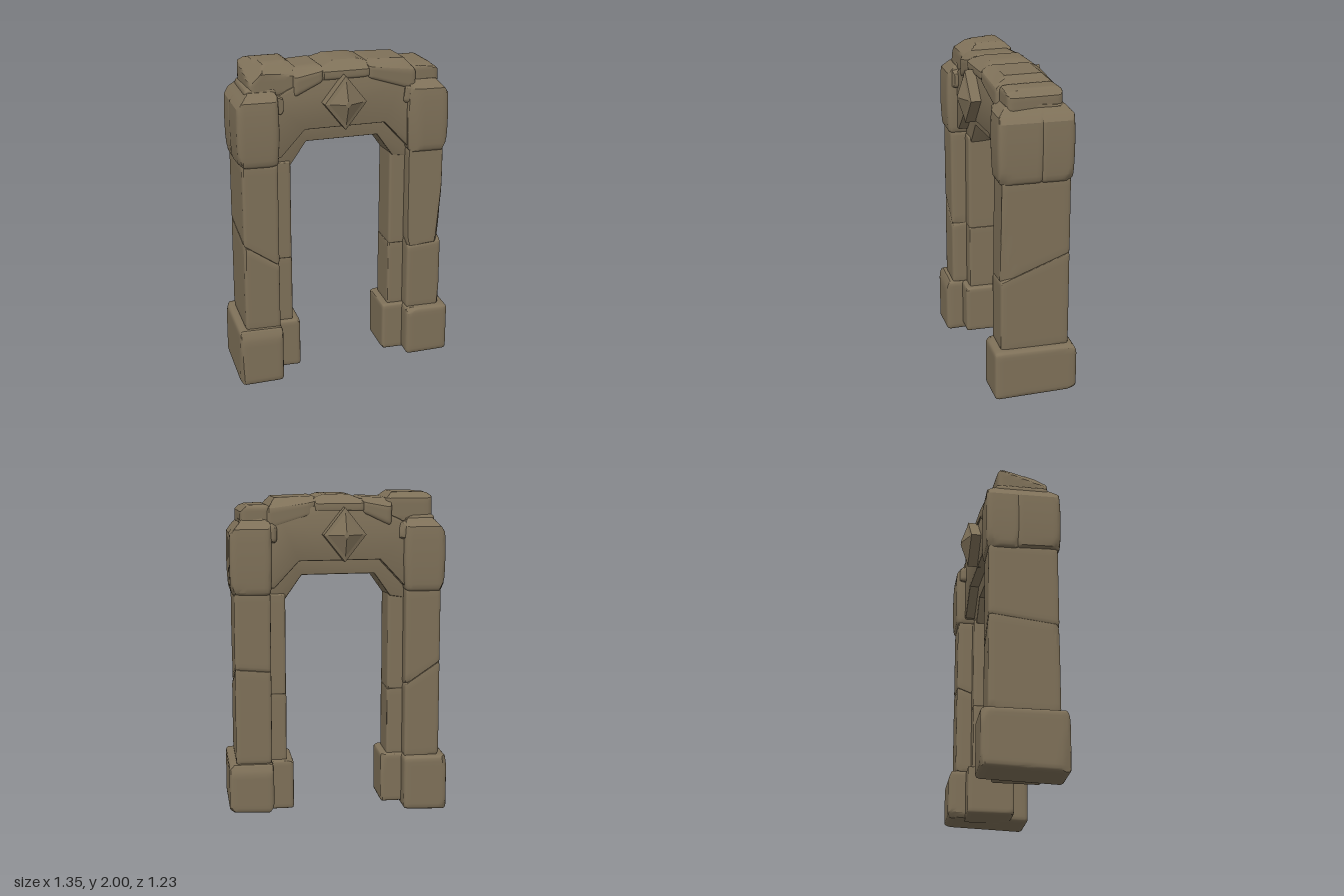
import * as THREE from 'three';
import { toCreasedNormals } from 'three/addons/utils/BufferGeometryUtils.js';

function seeded(seed) {
  let s = (seed * 7919 + 12345) >>> 0;
  return () => (s = (s * 1664525 + 1013904223) >>> 0) / 4294967296;
}

// Hewn block: box with rounded edges, flat chips cut off, optional sloping ends
// and a bulge around the middle. u, y, w are [min, max] ranges.
function stoneGeometry(u, y, w, o) {
  const { r = 0.025, chips = 6, chip = 0.025, seed = 1, top = [0, 0], bottom = [0, 0], bulge = 0, cuts = [] } = o;
  const rnd = seeded(seed);
  const half = new THREE.Vector3(u[1] - u[0], y[1] - y[0], w[1] - w[0]).multiplyScalar(0.5);
  const mid = new THREE.Vector3(u[0] + u[1], y[0] + y[1], w[0] + w[1]).multiplyScalar(0.5);
  const planes = [];
  const addCut = (n, depth) => {
    n.normalize();
    const reach = Math.abs(n.x) * half.x + Math.abs(n.y) * half.y + Math.abs(n.z) * half.z;
    planes.push({ n, d: reach - depth });
  };
  for (let i = 0; i < chips; i++) {
    const n = new THREE.Vector3(rnd() - 0.5, (rnd() - 0.5) * 1.2, rnd() - 0.5);
    addCut(n, chip * (0.5 + rnd()));
  }
  cuts.forEach(([x, yy, z, depth]) => addCut(new THREE.Vector3(x, yy, z), depth));

  const geo = new THREE.BoxGeometry(1, 1, 1, 14, 14, 14);
  const pos = geo.attributes.position;
  const p = new THREE.Vector3(), core = new THREE.Vector3();
  const inner = half.clone().subScalar(r);
  const outer = inner.clone().negate();
  const spread = (t) => Math.sin(t * Math.PI); // denser rows near the edges
  for (let i = 0; i < pos.count; i++) {
    p.fromBufferAttribute(pos, i);
    p.set(spread(p.x), spread(p.y), spread(p.z)).multiply(half);
    core.copy(p).clamp(outer, inner);
    p.sub(core);
    if (p.length() > r) p.setLength(r);
    p.add(core);
    for (const { n, d } of planes) {
      const over = p.dot(n) - d;
      if (over > 0) p.addScaledVector(n, -over);
    }
    const t = p.y / half.y;
    const swell = 1 + bulge * (1 - t * t);
    p.x *= swell;
    p.z *= swell;
    const a = (t + 1) / 2;
    p.y += a * (top[0] * p.x / half.x + top[1] * p.z / half.z)
      + (1 - a) * (bottom[0] * p.x / half.x + bottom[1] * p.z / half.z);
    pos.setXYZ(i, p.x + mid.x, p.y + mid.y, p.z + mid.z);
  }
  return toCreasedNormals(geo, 0.5);
}

export function createModel() {
  const stoneMat = new THREE.MeshStandardMaterial({ color: 0x7f7159 });
  stoneMat.name = 'brown stone';
  const model = new THREE.Group();
  model.name = 'stoneArch';
  const arch = new THREE.Group();
  arch.name = 'archBody';
  arch.rotation.y = THREE.MathUtils.degToRad(38.5);
  model.add(arch);

  const add = (name, geo, parent = arch) => {
    const m = new THREE.Mesh(geo, stoneMat);
    m.name = name;
    parent.add(m);
  };
  let seed = 3;
  const stone = (name, u, y, w, o = {}, parent = arch) =>
    add(name, stoneGeometry(u, y, w, { seed: seed++, ...o }), parent);

  // Piers: outer pillar with a thinner inner pillar, both on plinths.
  // Each pier is turned slightly against the lintel about its own axis.
  const axis = 0.543;
  for (const s of [-1, 1]) {
    const right = s < 0;
    const pier = new THREE.Group();
    pier.name = right ? 'rightPier' : 'leftPier';
    pier.position.x = s * axis;
    pier.rotation.y = THREE.MathUtils.degToRad(-3.5);
    arch.add(pier);
    const block = (name, a, b, y, w, o) =>
      stone(name, right ? [axis - b, axis - a] : [a - axis, b - axis], y, w, o, pier);

    block('plinth', 0.41, 0.682, [right ? 0.006 : 0.05, 0.36], [-0.253, 0.253],
      { r: 0.025, chip: 0.022, bottom: [0.005, -0.008], cuts: [[0, 0.4, -s, 0.02]] });
    block('innerPlinth', 0.28, 0.5, [0.045, 0.355], [-0.145, 0.145], { r: 0.015, chip: 0.012 });
    block('innerShaftLower', 0.32, 0.5, [0.34, 0.775], [-0.113, 0.113], { r: 0.012, chip: 0.008 });
    block('innerShaftUpper', 0.322, 0.5, [0.765, 1.39], [-0.113, 0.113], { r: 0.012, chip: 0.008 });

    // Broken outer shaft: both stones share one sloping joint
    const slope = right ? [-0.075, -0.025] : [0.01, -0.08];
    const joint = 0.86;
    block('shaftLower', 0.418, 0.637, [0.35, joint + 0.005], [-0.208, 0.208],
      { r: 0.016, chips: 4, chip: 0.012, top: slope, cuts: [[s, right ? 0.05 : -0.08, 0.6, 0.015]] });
    block('shaftUpper', 0.418, 0.637, [joint - 0.005, 1.41], [-0.208, 0.208],
      { r: 0.016, chips: 4, chip: 0.012, bottom: slope, cuts: [[s, right ? 0.05 : -0.1, 0.6, right ? 0.01 : 0.035]] });

    // Swollen capital of two side-by-side stones with loose chips on top
    for (const f of [1, -1]) {
      block(f > 0 ? 'capitalFront' : 'capitalBack', 0.415, 0.652, [1.39, 1.84], f > 0 ? [-0.04, 0.218] : [-0.218, -0.02], {
        r: 0.03, chip: 0.018, bulge: 0.08,
        cuts: [[s, 0.8, 0, 0.05], [0, 0.9, f, 0.035], [s, -0.4, f * 0.4, 0.03]],
      });
      block('capitalChip', 0.375, 0.46, [1.7, 1.82], f < 0 ? [-0.205, -0.1] : [0.1, 0.205], { r: 0.03, chip: 0.02 });
    }
    block('capitalCore', 0.41, 0.6, [1.7, 1.86], [-0.165, 0.165], { chip: 0.02 });
  }

  // Lintel: thick arched face with a thinner lining under it
  const slab = (name, pts, depth) => {
    const all = [...pts, ...pts.map(([x, y]) => [-x, y]).reverse()];
    const shape = new THREE.Shape(all.map(([x, y]) => new THREE.Vector2(x, y)));
    const b = 0.01;
    const geo = new THREE.ExtrudeGeometry(shape, {
      depth: depth - 2 * b, bevelThickness: b, bevelSize: b, bevelOffset: -b, bevelSegments: 2,
    });
    geo.translate(0, 0, -depth / 2 + b);
    add(name, toCreasedNormals(geo, 0.5));
  };
  slab('lintelFace', [[-0.25, 1.59], [-0.4, 1.43], [-0.46, 1.43], [-0.46, 1.78], [-0.36, 1.84], [-0.17, 1.92]], 0.345);
  slab('lintelLining', [[-0.225, 1.5], [-0.325, 1.36], [-0.44, 1.34], [-0.44, 1.66]], 0.225);

  // Capping stones along the top, with chamfered front and back edges
  const chamfer = (d) => [[0, 1, 0.75, d], [0, 1, -0.75, d]];
  stone('rightCornerCap', [-0.58, -0.28], [1.8, 1.998], [-0.15, 0.165],
    { r: 0.03, chip: 0.02, cuts: [[-1, 1, 0.3, 0.085], [0.1, 1, 0.8, 0.06], [1, 1, 0, 0.035], [0, 1, -1, 0.03]] });
  stone('rightCapStone', [-0.32, -0.135], [1.83, 1.965], [-0.183, 0.183],
    { chip: 0.012, top: [0.005, 0], bottom: [0.045, 0], cuts: chamfer(0.035) });
  stone('centreCapStone', [-0.15, 0.155], [1.88, 1.988], [-0.183, 0.185],
    { r: 0.02, chip: 0.012, cuts: [...chamfer(0.045), [-0.4, 1, 0, 0.035], [0.3, 1, 0, 0.02]] });
  stone('leftCapStone', [0.14, 0.445], [1.825, 1.972], [-0.175, 0.185],
    { r: 0.02, chip: 0.012, top: [-0.005, 0], bottom: [-0.05, 0], cuts: [...chamfer(0.04), [1, 1, 0, 0.04]] });
  stone('leftCornerCap', [0.42, 0.6], [1.79, 1.93], [-0.165, 0.165],
    { r: 0.03, chip: 0.02, cuts: [[1, 1, 0, 0.03]] });

  // Diamond bosses on both faces
  for (const f of [1, -1]) {
    const boss = new THREE.Group();
    boss.name = f > 0 ? 'frontDiamond' : 'backDiamond';
    boss.rotation.y = f > 0 ? 0 : Math.PI;
    boss.position.set(-0.018, 1.75, 0);
    arch.add(boss);
    const layer = (name, r0, r1, w0, w1) => {
      const geo = new THREE.CylinderGeometry(r1, r0, w1 - w0, 4);
      geo.rotateX(Math.PI / 2);
      geo.scale(0.13, 0.163, 1);
      geo.translate(0, 0, (w0 + w1) / 2);
      add(name, toCreasedNormals(geo, 0.1), boss);
    };
    layer('diamondPlate', 1, 1, 0.15, 0.235);
    layer('diamondRim', 1, 0.8, 0.235, 0.242);
    layer('diamondPoint', 0.8, 0.12, 0.242, 0.28);
  }
  return model;
}
